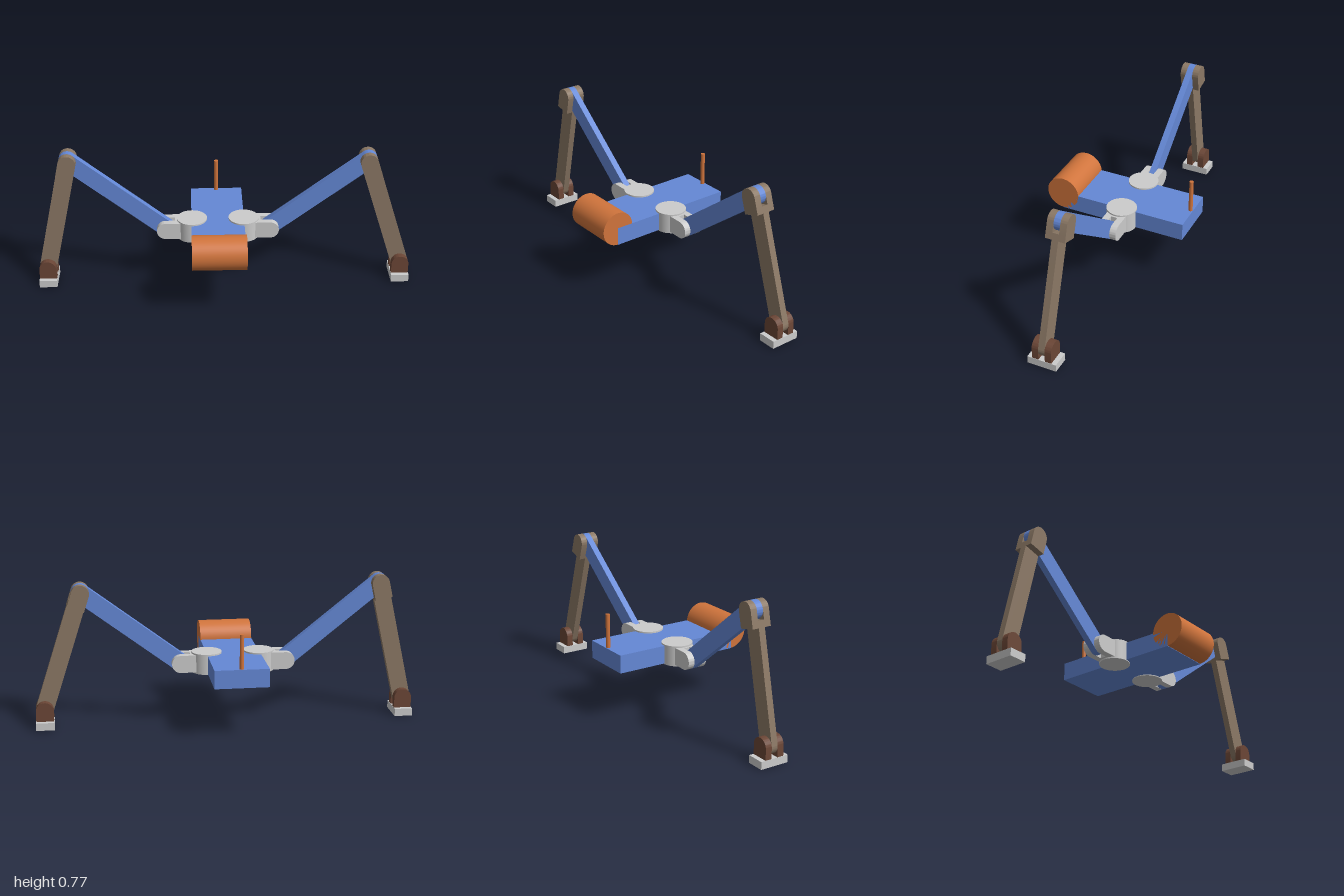
import * as THREE from 'three';
import { toCreasedNormals } from 'three/addons/utils/BufferGeometryUtils.js';

const mat = (color) => new THREE.MeshStandardMaterial({ color });
const BLUE = mat(0x6488d6), ORANGE = mat(0xd0743c), BROWN = mat(0x8b7865);
const DARK = mat(0x6b4636), GREY = mat(0xcccccc);

const R = 0.046;      // half width of links and radius of joints
const THIN = 0.035;   // thickness of one plate

function add(parent, name, geometry, material, x = 0, y = 0, z = 0) {
  const mesh = new THREE.Mesh(geometry, material);
  mesh.name = name;
  mesh.position.set(x, y, z);
  parent.add(mesh);
  return mesh;
}

function joint(parent, name, x, y, z, angle) {
  const g = new THREE.Group();
  g.name = name;
  g.position.set(x, y, z);
  g.rotation.z = angle;
  parent.add(g);
  return g;
}

// Flat bar along x from x0 to x1, with round ends centred on x0 / x1 where asked
function bar(x0, x1, roundStart, roundEnd) {
  const s = new THREE.Shape();
  s.moveTo(x0, -R);
  s.lineTo(x1, -R);
  if (roundEnd) s.absarc(x1, 0, R, -Math.PI / 2, Math.PI / 2, false);
  else s.lineTo(x1, R);
  s.lineTo(x0, R);
  if (roundStart) s.absarc(x0, 0, R, Math.PI / 2, Math.PI * 1.5, false);
  else s.lineTo(x0, -R);
  const g = new THREE.ExtrudeGeometry(s, { depth: THIN, bevelEnabled: false, curveSegments: 20 });
  g.translate(0, 0, -THIN / 2);
  return toCreasedNormals(g, 0.5);
}

// Two parallel bars either side of a slot
function forkPlates(parent, name, geometry, material) {
  for (const z of [-THIN, THIN]) add(parent, name, geometry, material, 0, 0, z);
}

// A leg reaching along local +x; angles are measured from horizontal
function addLeg(parent, name, hipX, yaw, thighAngle, shinAngle) {
  const leg = joint(parent, name, hipX, 0.325, -0.044, 0);
  leg.rotation.y = yaw;

  // Hip drum and fork
  add(leg, 'hipDrum', new THREE.CylinderGeometry(0.08, 0.08, 0.108, 48), GREY);
  add(leg, 'hipForkBase', new THREE.BoxGeometry(0.09, 2 * R, 3 * THIN), GREY, 0.045);
  forkPlates(leg, 'hipForkPlate', bar(0.09, 0.14, false, true), GREY);

  // Thigh
  const thigh = joint(leg, 'thighJoint', 0.14, 0, 0, thighAngle);
  add(thigh, 'thigh', bar(0, 0.64, true, true), BLUE);

  // Shin with the knee fork at its top
  const shin = joint(thigh, 'kneeJoint', 0.64, 0, 0, shinAngle - thighAngle);
  forkPlates(shin, 'kneeForkPlate', bar(0, 0.05, true, false), BROWN);
  add(shin, 'kneeForkBase', new THREE.BoxGeometry(0.035, 2 * R, 3 * THIN), BROWN, 0.0675);
  add(shin, 'shin', bar(0.08, 0.645, false, true), BROWN);

  // Ankle and level foot
  const foot = joint(shin, 'ankleJoint', 0.645, 0, 0, -shinAngle);
  const arch = bar(-0.055, 0, false, true).rotateZ(Math.PI / 2);
  forkPlates(foot, 'anklePlate', arch, DARK);
  add(foot, 'footPad', new THREE.BoxGeometry(0.095, 0.04, 0.156), GREY, 0, -0.075);
}

export function createModel() {
  const model = new THREE.Group();
  model.name = 'twoLeggedWalker';

  // Body, head drum and tail antenna
  add(model, 'body', new THREE.BoxGeometry(0.28, 0.096, 0.69), BLUE, -0.038, 0.323, -0.044);
  const drum = new THREE.CylinderGeometry(0.09, 0.09, 0.28, 48).rotateZ(Math.PI / 2);
  add(model, 'headDrum', drum, ORANGE, -0.038, 0.367, 0.3);
  add(model, 'antenna', new THREE.CylinderGeometry(0.011, 0.011, 0.18, 24), ORANGE, -0.038, 0.46, -0.375);

  // The two legs stand in slightly different poses
  addLeg(model, 'leftLeg', 0.1, 0, 0.65, -1.256);
  addLeg(model, 'rightLeg', -0.175, Math.PI - 0.008, 0.675, -1.352);
  return model;
}
